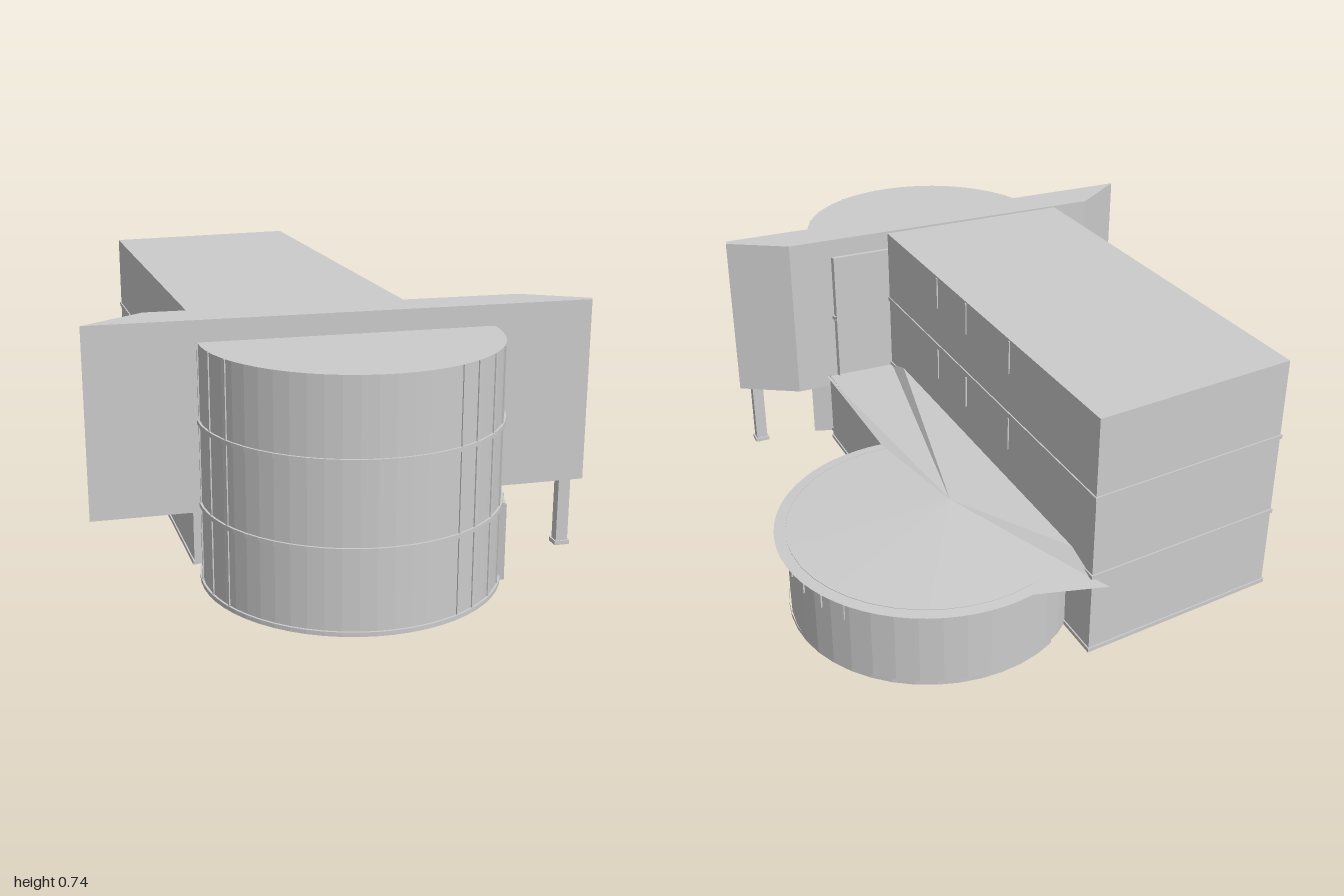
import * as THREE from 'three';

const material = new THREE.MeshStandardMaterial({ color: 0xcccccc, flatShading: true, side: THREE.DoubleSide });

function add(group, geometry, name) {
  const mesh = new THREE.Mesh(geometry, material);
  mesh.name = name;
  group.add(mesh);
  return mesh;
}

function fromTriangles(vertices) {
  const geometry = new THREE.BufferGeometry();
  geometry.setAttribute('position', new THREE.Float32BufferAttribute(vertices, 3));
  geometry.computeVertexNormals();
  return geometry;
}

// Upright walls along a plan path of [x, z] points
function walls(group, name, path, y0, y1, closed = true) {
  const v = [];
  const count = closed ? path.length : path.length - 1;
  for (let i = 0; i < count; i++) {
    const [ax, az] = path[i];
    const [bx, bz] = path[(i + 1) % path.length];
    v.push(ax, y0, az, bx, y0, bz, bx, y1, bz, ax, y0, az, bx, y1, bz, ax, y1, az);
  }
  return add(group, fromTriangles(v), name);
}

// Flat plate filling a plan outline
function plate(group, name, outline, y) {
  const shape = new THREE.Shape(outline.map(([x, z]) => new THREE.Vector2(x, -z)));
  const geometry = new THREE.ShapeGeometry(shape);
  geometry.rotateX(-Math.PI / 2);
  geometry.translate(0, y, 0);
  return add(group, geometry, name);
}

// Plan points on a circle; angle 0 is +x and a quarter turn is -z
function arc(cx, cz, r, from, to, n) {
  return Array.from({ length: n + 1 }, (_, i) => {
    const a = from + (to - from) * i / n;
    return [cx + r * Math.cos(a), cz - r * Math.sin(a)];
  });
}

// Horizontal moulding between two plan points
function bar(group, name, [ax, az], [bx, bz], y, h, t) {
  const mesh = add(group, new THREE.BoxGeometry(Math.hypot(bx - ax, bz - az) + t, h, t), name);
  mesh.position.set((ax + bx) / 2, y, (az + bz) / 2);
  mesh.rotation.y = Math.atan2(az - bz, bx - ax);
}

function box(group, name, w, h, d, x, y, z, turn = 0) {
  const mesh = add(group, new THREE.BoxGeometry(w, h, d), name);
  mesh.position.set(x, y, z);
  mesh.rotation.y = turn;
}

export function createModel() {
  const model = new THREE.Group();
  model.name = 'building';

  // Tall main block, counter-clockwise from the front left of the plan
  const block = [[-0.335, 0.57], [0.25, 0.39], [-0.21, -0.885], [-0.772, -0.635]];
  const main = new THREE.Group();
  main.name = 'mainBlock';
  model.add(main);
  walls(main, 'mainWalls', block, 0, 0.73);
  plate(main, 'mainRoof', block, 0.73);
  for (const y of [0.006, 0.25, 0.495])
    for (let i = 1; i < 4; i++) bar(main, 'floorBand', block[i], block[(i + 1) % 4], y, 0.012, 0.008);
  for (const z of [0.02, -0.17, -0.43])
    for (const y of [0.675, 0.43])
      box(main, 'windowMullion', 0.008, 0.1, 0.006, 0.25 + (z - 0.39) * 0.361, y, z, 0.346);

  // Raised screen slab with splayed ends
  const slab = [[-0.578, 0.776], [0.772, 0.365], [0.772, 0.345], [0.57, 0.3], [-0.45, 0.605]];
  const screen = new THREE.Group();
  screen.name = 'screenSlab';
  model.add(screen);
  walls(screen, 'screenWalls', slab, 0.205, 0.735);
  plate(screen, 'screenTop', slab, 0.735);
  plate(screen, 'screenUnderside', slab, 0.205);

  // Post under the free end of the screen
  box(model, 'post', 0.036, 0.205, 0.03, 0.717, 0.103, 0.352, 0.3);
  box(model, 'postFoot', 0.046, 0.012, 0.04, 0.717, 0.006, 0.352, 0.3);

  // Rounded front hall
  const hall = new THREE.Group();
  hall.name = 'frontHall';
  model.add(hall);
  const start = -Math.PI - 0.05, end = 0.66;
  const hallArc = (r) => arc(0.105, 0.58, r, start, end, 36);
  walls(hall, 'hallWall', hallArc(0.412), 0, 0.675, false);
  plate(hall, 'hallRoof', hallArc(0.412), 0.675);
  for (const y of [0.006, 0.23, 0.46]) {
    walls(hall, 'hallBand', hallArc(0.418), y - 0.006, y + 0.006, false);
    for (const e of [-0.006, 0.006]) {
      const ring = new THREE.RingGeometry(0.408, 0.418, 36, 1, start, end - start);
      ring.rotateX(-Math.PI / 2);
      ring.translate(0.105, y + e, 0.58);
      add(hall, ring, 'hallBandEdge');
    }
  }
  for (const x of [-0.29, -0.25, -0.2, 0.39, 0.43, 0.475, 0.505]) {
    const a = Math.acos((x - 0.105) / 0.412);
    box(hall, 'hallMullion', 0.006, 0.675, 0.006, x, 0.3375, 0.58 + 0.412 * Math.sin(a), -a);
  }

  // Entrance box beside the hall
  const entrance = new THREE.Group();
  entrance.name = 'entrance';
  model.add(entrance);
  const porch = [[0.41, 0.63], [0.527, 0.63], [0.527, 0.38], [0.41, 0.38]];
  walls(entrance, 'entranceWalls', porch, 0, 0.225);
  plate(entrance, 'entranceRoof', porch, 0.225);
  for (const z of [0.625, 0.54, 0.46, 0.385]) box(entrance, 'entranceFrame', 0.008, 0.22, 0.008, 0.527, 0.11, z);
  for (const y of [0.006, 0.15]) box(entrance, 'entranceRail', 0.008, 0.008, 0.25, 0.527, y, 0.505);

  // Low wing linking the block to the round pavilion
  const wing = [[0.25, 0.39], [0.465, 0.33], [0.295, -0.15]];
  walls(model, 'wingWalls', wing, 0, 0.245, false);
  bar(model, 'wingPlinth', wing[1], wing[2], 0.006, 0.012, 0.008);

  // Round pavilion
  const pavilion = new THREE.Group();
  pavilion.name = 'pavilion';
  model.add(pavilion);
  const cx = 0.19, cz = -0.56;
  walls(pavilion, 'pavilionWall', arc(cx, cz, 0.408, 0, Math.PI * 2, 40), 0, 0.245, false);
  walls(pavilion, 'pavilionPlinth', arc(cx, cz, 0.413, -1.1, 2.4, 24), 0, 0.012, false);
  for (let i = 0; i < 10; i++) {
    const a = -0.9 + i * 0.2;
    box(pavilion, 'pavilionMullion', 0.006, 0.07, 0.006, cx + 0.409 * Math.cos(a), 0.2, cz - 0.409 * Math.sin(a), a);
  }

  // Low-pitched roof over pavilion and wing, fanned from its crown
  const rim = [
    ...arc(cx, cz, 0.44, -1.29, 2.14, 36).map(([x, z]) => [x, 0.242, z]),
    [-0.25, 0.242, -0.92], [-0.21, 0.246, -0.885], [-0.173, 0.28, -0.785],
    [0.215, 0.28, 0.29], [0.25, 0.245, 0.39], [0.475, 0.242, 0.33],
  ];
  const crown = [0.13, 0.264, -0.5];
  const roof = rim.flatMap((p, i) => [...crown, ...p, ...rim[(i + 1) % rim.length]]);
  add(pavilion, fromTriangles(roof), 'pavilionRoof');

  return model;
}
